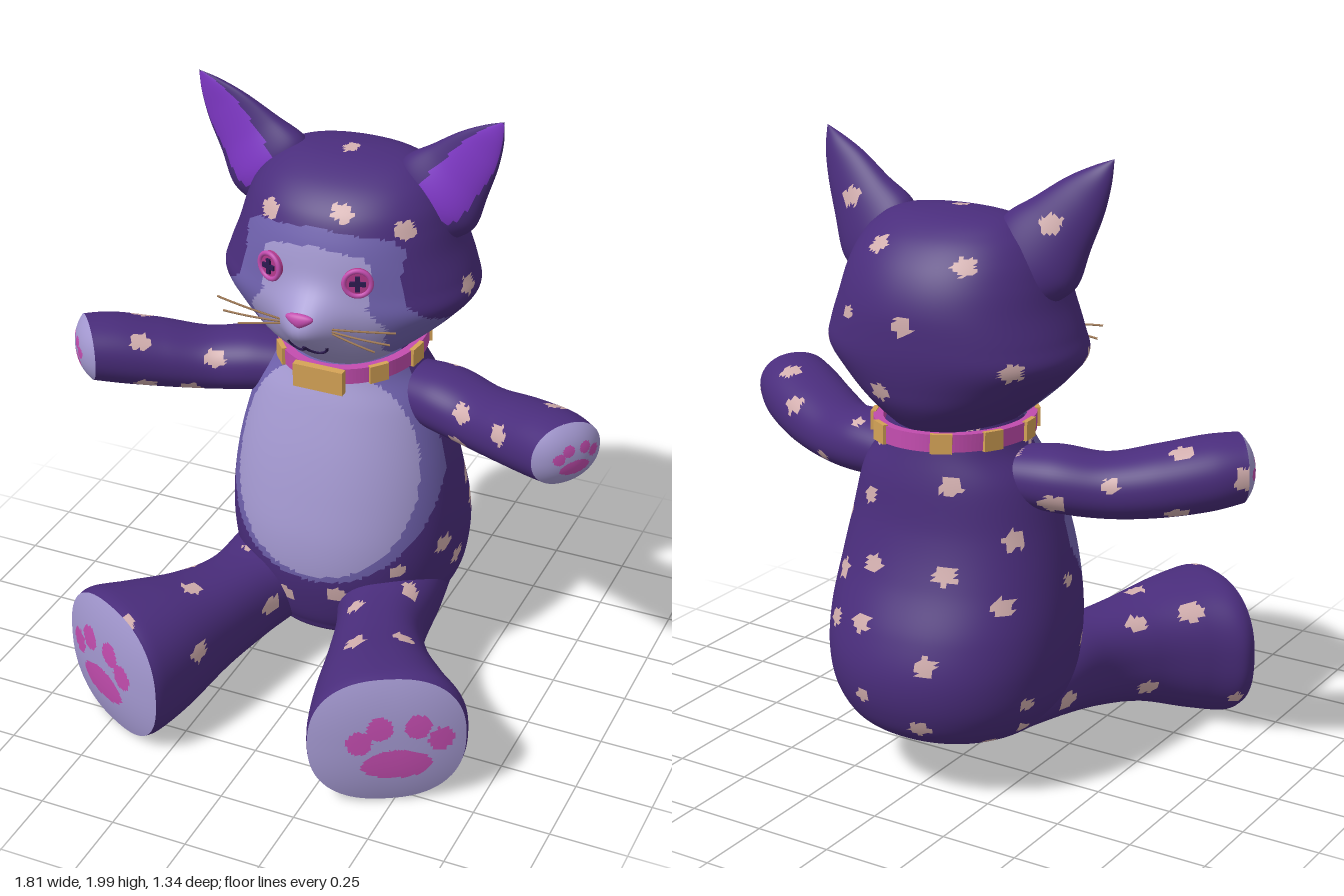
import * as THREE from 'three';

const mat = (name, color) => Object.assign(new THREE.MeshStandardMaterial({ color }), { name });
const purple = mat('purple plush', 0x4a2d7c), lavender = mat('lavender plush', 0xa398d0);
const periwinkle = mat('periwinkle plush', 0x6f61ad), peach = mat('peach spots', 0xd2aeae);
const violet = mat('violet ear lining', 0x8038c8), pink = mat('pink', 0xc24cae);
const magenta = mat('button magenta', 0xb53a8c), gold = mat('gold', 0xd4a256);
const dark = mat('dark thread', 0x2c1a50), brown = mat('whisker brown', 0xa07a56);

// Seeded random numbers for the spots
let seed = 7;
const rand = () => (seed = (seed * 16807) % 2147483647) / 2147483647;

// Smooth interpolation through rows of numbers, u from 0 to 1
function spline(rows) {
  const last = rows.length - 1;
  return u => {
    const f = u * last, i = Math.min(Math.floor(f), last - 1), t = f - i;
    return rows[i].map((p1, c) => {
      const p0 = rows[Math.max(i - 1, 0)][c], p2 = rows[i + 1][c], p3 = rows[Math.min(i + 2, last)][c];
      return p1 + 0.5 * t * (p2 - p0 + t * (2 * p0 - 5 * p1 + 4 * p2 - p3 + t * (3 * (p1 - p2) + p3 - p0)));
    });
  };
}
const bend = (v, n) => Math.sign(v) * Math.abs(v) ** (2 / n);
const lerpTable = (table, y) => {
  for (let i = 1; i < table.length; i++) {
    const [y0, w0] = table[i - 1], [y1, w1] = table[i];
    if (y <= y1) return w0 + (w1 - w0) * Math.max(0, (y - y0) / (y1 - y0));
  }
  return -1;
};

// Closed-ring surface f(u, angle); paint picks a material per face. Spots land on purple:
// first near the given points (x, y, z), then at random
function surface(name, f, nu, nv, { paint = () => purple, marks = [], spots = 0, gap = 0.18, side = 1 } = {}) {
  const pos = [], faces = [];
  for (let i = 0; i <= nu; i++) for (let j = 0; j < nv; j++) {
    const p = f(i / nu, j / nv * Math.PI * 2);
    pos.push(p.x * side, p.y, p.z);
  }
  const at = k => new THREE.Vector3().fromArray(pos, k * 3);
  const addFace = (a, b, c, u, ang) => {
    const A = at(a), B = at(b), C = at(c);
    const normal = B.clone().sub(A).cross(C.clone().sub(A)).multiplyScalar(side);
    if (normal.length() < 1e-9) return;
    const mid = A.add(B).add(C).divideScalar(3);
    faces.push({ idx: side > 0 ? [a, b, c] : [a, c, b], mid, normal: normal.normalize(), m: paint(mid, u, ang) });
  };
  for (let i = 0; i < nu; i++) for (let j = 0; j < nv; j++) {
    const k = (j + 1) % nv, a = i * nv + j, b = a + nv, c = i * nv + k, d = c + nv;
    const u = (i + 0.5) / nu, ang = (j + 0.5) / nv * Math.PI * 2;
    addFace(a, b, c, u, ang);
    addFace(b, d, c, u, ang);
  }
  const placed = [];
  const place = (s, r) => {
    const e1 = new THREE.Vector3(0.3, 1, 0.2).cross(s.normal).normalize();
    placed.push({ mid: s.mid, normal: s.normal, e1, e2: s.normal.clone().cross(e1), r, phase: rand() * 6 });
  };
  for (const mark of marks) {
    const p = new THREE.Vector3(...mark);
    place(faces.reduce((best, q) => q.mid.distanceToSquared(p) < best.mid.distanceToSquared(p) ? q : best), 0.036);
  }
  for (let tries = 0; tries < spots * 30 && placed.length < spots; tries++) {
    const s = faces[Math.floor(rand() * faces.length)];
    if (placed.every(q => q.mid.distanceTo(s.mid) > gap)) place(s, 0.022 + 0.024 * rand());
  }
  for (const face of faces) if (face.m === purple) for (const s of placed) {
    const d = face.mid.clone().sub(s.mid), len = d.length();
    if (len > 0.06 || face.normal.dot(s.normal) < 0.2) continue;
    const phi = Math.atan2(d.dot(s.e2), d.dot(s.e1));
    if (len < s.r * (0.9 + 0.13 * Math.cos(5 * phi + s.phase) + 0.1 * Math.cos(2 * phi))) { face.m = peach; break; }
  }
  const mats = [...new Set(faces.map(q => q.m))], index = [];
  const geo = new THREE.BufferGeometry();
  mats.forEach((m, g) => {
    const start = index.length;
    for (const q of faces) if (q.m === m) index.push(...q.idx);
    geo.addGroup(start, index.length - start, g);
  });
  geo.setAttribute('position', new THREE.Float32BufferAttribute(pos, 3));
  geo.setIndex(index);
  geo.computeVertexNormals();
  const mesh = new THREE.Mesh(geo, mats);
  mesh.name = name;
  return mesh;
}

// Torso: height, half width, back z, front z
const torsoAt = spline([[.16, 0, -.24, -.24], [.165, .2, -.46, -.02], [.21, .3, -.59, .03], [.3, .365, -.65, .065],
  [.42, .39, -.67, .09], [.55, .395, -.64, .09], [.7, .38, -.575, .065], [.85, .35, -.53, .03],
  [1, .305, -.51, -.015], [1.1, .24, -.49, -.05], [1.2, .2, -.47, -.08]]);
const ring = ([y, w, zb, zf], a, n) => new THREE.Vector3(
  w * bend(Math.cos(a), n), y, (zb + zf) / 2 + (zf - zb) / 2 * bend(Math.sin(a), n));
const egg = (p, w, up, down) => (Math.abs(p.x) / w) ** 2.15 + (Math.abs(p.y - .75) / (p.y > .75 ? up : down)) ** 2.15 < 1;
const torsoPaint = p => p.z < -.2 ? purple : egg(p, .315, .385, .315) ? lavender : egg(p, .363, .5, .335) ? periwinkle : purple;
const torsoMarks = [[.35, .84, -.4], [.3, .69, -.53], [.38, .67, -.38], [.4, .52, -.15], [.38, .56, -.4], [.28, .55, -.58],
  [.4, .41, -.25], [.36, .28, -.37], [.1, .37, .09], [-.1, .33, .08], [-.28, .85, -.41], [-.28, .66, -.47],
  [-.12, .49, -.64], [.13, .74, -.54], [-.11, 1.01, -.48], [.13, .57, -.61]];

// Head, with the muzzle pushed out of the front
const headAt = spline([[1.12, 0, -.27, -.27], [1.14, .15, -.43, -.1], [1.18, .2, -.49, -.03], [1.25, .285, -.545, .035],
  [1.32, .36, -.57, .055], [1.39, .415, -.585, .06], [1.46, .4, -.59, .055], [1.55, .365, -.587, .05],
  [1.63, .34, -.565, .03], [1.7, .31, -.525, -.005], [1.76, .262, -.465, -.075], [1.805, .18, -.38, -.18], [1.82, 0, -.28, -.28]]);
const muzzle = (x, y) => .1 * Math.exp(-((x / .1) ** 2) - ((y - 1.36) / .095) ** 2);
const headPoint = (u, a) => {
  const p = ring(headAt(u), a, 2.1);
  if (Math.sin(a) > 0) p.z += muzzle(p.x, p.y);
  return p;
};
function faceZ(x, y) {
  let lo = 0, hi = 1;
  for (let i = 0; i < 30; i++) { const m = (lo + hi) / 2; if (headAt(m)[0] < y) lo = m; else hi = m; }
  const [, w, zb, zf] = headAt(lo);
  return (zb + zf) / 2 + (zf - zb) / 2 * (1 - (Math.abs(x) / w) ** 2.1) ** (1 / 2.1) + muzzle(x, y);
}
const maskInner = [[1.1, .2], [1.25, .2], [1.35, .23], [1.42, .175], [1.5, .18], [1.56, .18], [1.585, .15], [1.605, 0]];
const maskOuter = [[1.1, .28], [1.25, .3], [1.35, .37], [1.43, .28], [1.52, .26], [1.6, .265], [1.635, .22], [1.66, 0]];
const headPaint = p => p.z < -.26 ? purple : Math.abs(p.x) < lerpTable(maskInner, p.y) ? lavender
  : Math.abs(p.x) < lerpTable(maskOuter, p.y) ? periwinkle : purple;
const headMarks = [[.075, 1.72, 0], [-.19, 1.68, 0], [.26, 1.66, -.06], [.33, 1.67, -.36], [.4, 1.43, -.23], [.36, 1.39, -.42],
  [-.16, 1.69, -.48], [.13, 1.71, -.47], [-.02, 1.52, -.58], [-.32, 1.4, -.47]];

// Paw print in sole units: one pad and four toes
const toes = [[-.36, .04], [-.1, .27], [.38, .27], [.68, .04]];
function pawPaint(s, t) {
  const pad = ((s - .12) / (.44 - .2 * (t + .3))) ** 2 + ((t + .33) / .25) ** 2 < 1;
  return pad || toes.some(([a, b]) => ((s - a) / .165) ** 2 + ((t - b) / .19) ** 2 < 1) ? pink : lavender;
}

// Limb through rows of x, y, z, half width, half height, yaw, closed by a domed sole
function limb(name, rows, n, dome, nu, nv, spots, marks, side) {
  const group = new THREE.Group(), at = spline(rows);
  group.name = name;
  const point = ([x, y, z, w, h, yaw], a, r, push) => {
    const c = r * w * bend(Math.cos(a), n), s = -r * h * bend(Math.sin(a), n);
    return new THREE.Vector3(x + c * Math.cos(yaw) + push * Math.sin(yaw), y + s, z - c * Math.sin(yaw) + push * Math.cos(yaw));
  };
  group.add(surface(name + 'Plush', (u, a) => point(at(u), a, 1, 0), nu, nv, { spots, marks, side }));
  const end = rows[rows.length - 1];
  group.add(surface(name + 'Sole', (u, a) => point(end, a, 1 - u, dome * (1 - (1 - u) ** 2.5)), 28, 80, {
    side, paint: (p, u, a) => pawPaint((1 - u) * bend(Math.cos(a), n), -(1 - u) * bend(Math.sin(a), n)) }));
  return group;
}
const legRows = [[.18, .3, -.42, .15, .1, .1], [.2, .3, -.15, .175, .135, .15], [.255, .275, .08, .145, .15, .25],
  [.32, .265, .25, .165, .172, .33], [.4, .25, .41, .215, .215, .43], [.46, .243, .51, .25, .235, .5], [.478, .243, .555, .247, .23, .5]];
const armRows = [[.15, 1.01, -.28, .1, .08, 1.3], [.33, 1.01, -.24, .125, .1, 1.25], [.48, 1.0, -.19, .12, .098, 1.12],
  [.62, 1.02, -.125, .13, .108, .98], [.745, 1.045, -.05, .132, .112, .9], [.825, 1.06, .01, .122, .104, .88]];
const legMarks = { 1: [[.42, .45, .29], [.29, .45, .38], [.34, .42, 0], [.3, .12, .17]],
  [-1]: [[-.42, .42, .16], [-.31, .44, .32], [-.25, .14, .1], [-.15, .3, .12]] };
const armMarks = { 1: [[.44, 1.07, -.08], [.44, .94, -.1], [.66, 1.1, -.26], [.75, 1.15, -.12], [.6, 1.07, .02]],
  [-1]: [[-.64, 1.11, 0], [-.41, 1.06, -.09], [-.62, .95, 0], [-.71, 1.14, -.15], [-.5, .94, -.08]] };

// Ear: centre, half width, front depth, back depth
const earAt = spline([[.25, 1.65, -.27, .13, .08, .1], [.29, 1.715, -.26, .152, .075, .09], [.355, 1.8, -.25, .116, .045, .065],
  [.42, 1.885, -.235, .08, .022, .045], [.47, 1.95, -.225, .04, .012, .025], [.505, 2, -.215, 0, 0, 0]]);
const earPoint = (u, a) => {
  const [x, y, z, w, front, back] = earAt(u), c = w * Math.cos(a), s = Math.sin(a);
  return new THREE.Vector3(x + .79 * c, y - .62 * c, z + s * (s > 0 ? front : back));
};
const earPaint = (p, u, a) => {
  const c = Math.cos(a);
  return Math.sin(a) > 0 && u > .14 && u < .96 && c > -.25 - .65 * u && c < Math.min(.9, .5 + .7 * u) ? violet : purple;
};

export function createModel() {
  const model = new THREE.Group();
  model.name = 'plushCat';
  const add = (parent, name, geo, material, x = 0, y = 0, z = 0) => {
    const mesh = new THREE.Mesh(geo, material);
    mesh.name = name;
    mesh.position.set(x, y, z);
    parent.add(mesh);
    return mesh;
  };
  model.add(surface('torso', (u, a) => ring(torsoAt(u), a, 2.15), 100, 128, { paint: torsoPaint, marks: torsoMarks, spots: 46 }));
  model.add(surface('head', headPoint, 100, 128, { paint: headPaint, marks: headMarks, spots: 22, gap: .22 }));

  for (const side of [1, -1]) {
    const label = side > 0 ? 'left' : 'right';
    model.add(limb(label + 'Leg', legRows, 2.4, .03, 64, 80, 16, legMarks[side], side));
    model.add(limb(label + 'Arm', armRows, 2.15, .04, 54, 64, 12, armMarks[side], side));
    model.add(surface(label + 'Ear', earPoint, 52, 60, { paint: earPaint, marks: [[side * .35, 1.81, -.32]], side }));

    // Button eye with stitched cross
    const eye = new THREE.Group();
    eye.name = label + 'Eye';
    eye.position.set(side * .145, 1.51, faceZ(.145, 1.51) + .004);
    eye.rotation.y = side * .38;
    add(eye, 'button', new THREE.CylinderGeometry(.046, .046, .016, 32).rotateX(Math.PI / 2), magenta);
    add(eye, 'buttonRim', new THREE.TorusGeometry(.042, .008, 10, 36), pink, 0, 0, .007);
    for (const turn of [0, Math.PI / 2])
      add(eye, 'stitch', new THREE.BoxGeometry(.05, .015, .008), dark, 0, 0, .011).rotation.z = turn;
    model.add(eye);

    // Whiskers fanning out from the muzzle
    [[1.365, 1.4, .3], [1.357, 1.355, .28], [1.35, 1.32, .23]].forEach(([y0, y1, x1]) => {
      const path = new THREE.QuadraticBezierCurve3(new THREE.Vector3(side * .085, y0, faceZ(.085, y0) - .005),
        new THREE.Vector3(side * .18, (y0 + y1) / 2 + .006, .12), new THREE.Vector3(side * x1, y1, .1));
      add(model, label + 'Whisker', new THREE.TubeGeometry(path, 12, .0035, 5), brown);
    });
  }

  // Nose: an ellipsoid tapered toward the bottom
  const nose = new THREE.SphereGeometry(1, 24, 16), np = nose.attributes.position;
  for (let i = 0; i < np.count; i++) np.setX(i, np.getX(i) * (.75 + .5 * np.getY(i)));
  nose.scale(.053, .024, .017);
  nose.computeVertexNormals();
  add(model, 'nose', nose, pink, 0, 1.4, faceZ(0, 1.4) + .003);

  // Mouth: two stitched arcs
  const lip = [];
  for (let i = 0; i <= 24; i++) {
    const x = -.066 + .132 * i / 24, y = 1.295 - .035 * Math.sqrt(Math.abs(Math.sin(x / .066 * Math.PI)));
    lip.push(new THREE.Vector3(x, y, faceZ(x, y) + .002));
  }
  add(model, 'mouth', new THREE.TubeGeometry(new THREE.CatmullRomCurve3(lip), 60, .005, 6), dark);

  // Collar with studs and buckle
  const collar = new THREE.Group(), rx = .238, rz = .278;
  collar.name = 'collar';
  collar.position.set(0, 1.15, -.28);
  collar.rotation.x = .04;
  const band = new THREE.Shape().absellipse(0, 0, rx, rz, 0, Math.PI * 2);
  band.holes.push(new THREE.Path().absellipse(0, 0, rx - .03, rz - .03, 0, Math.PI * 2, true));
  add(collar, 'band', new THREE.ExtrudeGeometry(band, { depth: .054, bevelEnabled: false, curveSegments: 64 })
    .rotateX(Math.PI / 2).translate(0, .027, 0), pink);
  for (const degrees of [45, 81, 117, 153]) for (const side of [1, -1]) {
    const a = side * degrees * Math.PI / 180, x = rx * Math.sin(a), z = rz * Math.cos(a);
    add(collar, 'stud', new THREE.BoxGeometry(.066, .06, .016), gold, x, 0, z).rotation.y = Math.atan2(x / rx ** 2, z / rz ** 2);
  }
  add(collar, 'buckle', new THREE.BoxGeometry(.17, .082, .026), gold, 0, -.012, rz + .003);
  model.add(collar);
  return model;
}
